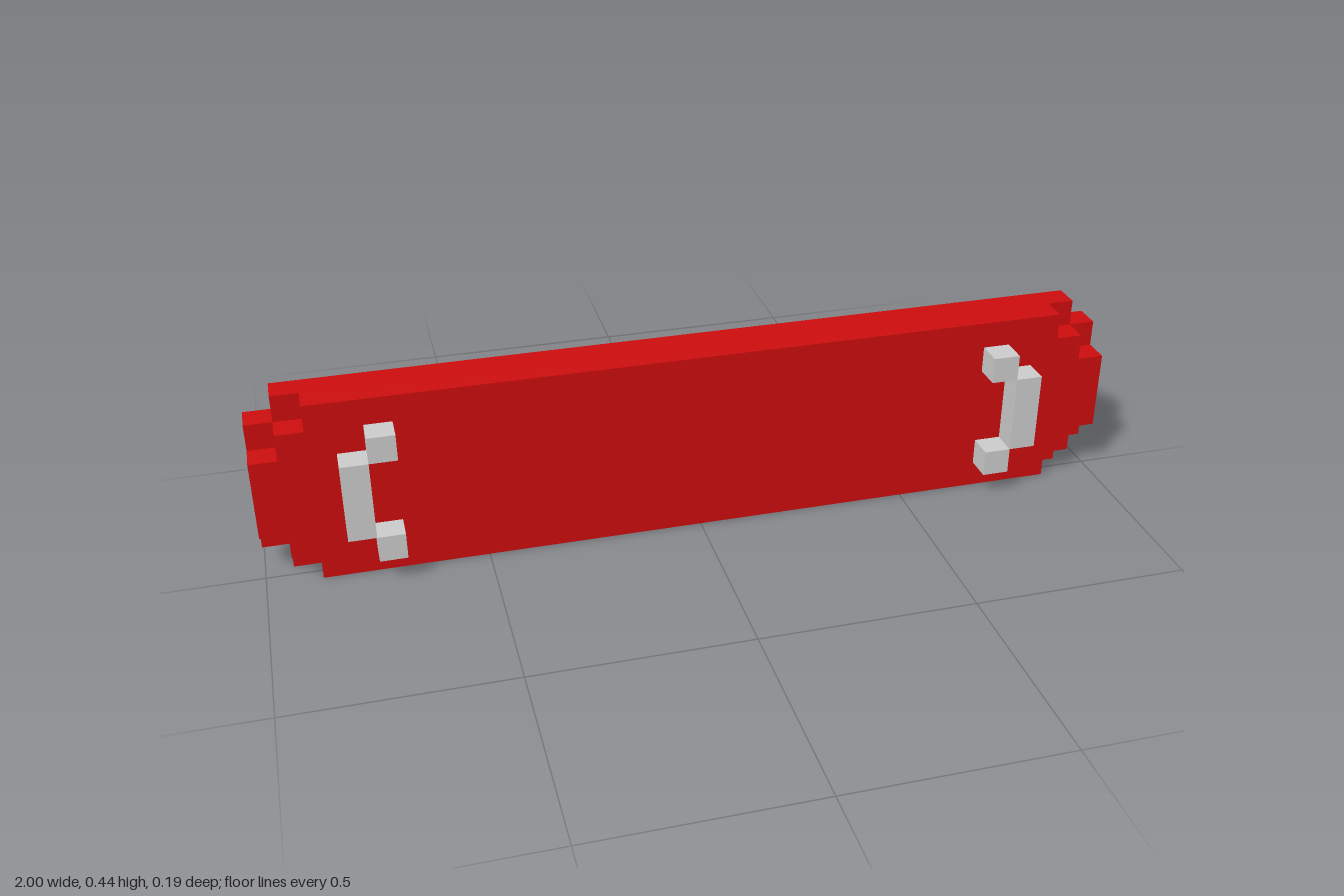
import * as THREE from 'three';

const U = 1 / 16; // one block

// Slab with stepped corners; steps lists [half width, half height] from side to top, in blocks
function steppedSlab(steps, z, material, name) {
  const corner = [];
  steps.forEach(([x, y], i) => {
    if (i > 0) corner.push([x, steps[i - 1][1]]);
    corner.push([x, y]);
  });
  const flip = [...corner].reverse();
  const outline = [
    ...corner,
    ...flip.map(([x, y]) => [-x, y]),
    ...corner.map(([x, y]) => [-x, -y]),
    ...flip.map(([x, y]) => [x, -y]),
  ];
  const shape = new THREE.Shape(outline.map(([x, y]) => new THREE.Vector2(x * U, (y + 3.5) * U)));
  const mesh = new THREE.Mesh(new THREE.ExtrudeGeometry(shape, { depth: U, bevelEnabled: false }), material);
  mesh.position.z = z * U;
  mesh.name = name;
  return mesh;
}

export function createModel() {
  const red = new THREE.MeshStandardMaterial({ color: 0xcc0d0d });
  red.name = 'red';
  const grey = new THREE.MeshStandardMaterial({ color: 0xcbcbcb });
  grey.name = 'light grey';

  const model = new THREE.Group();
  model.name = 'panel';

  // Two layers, the front one with more steps at its corners
  model.add(steppedSlab([[16, 2.5], [15, 3.5]], -1.5, red, 'backLayer'));
  model.add(steppedSlab([[16, 1.5], [15, 2.5], [14, 3.5]], -0.5, red, 'frontLayer'));

  // Bracket-shaped handles, mirrored left and right
  for (const side of [1, -1]) {
    const handle = new THREE.Group();
    handle.name = side > 0 ? 'leftHandle' : 'rightHandle';
    const parts = [
      ['handleBar', 12.5, 3.5, 3],
      ['upperHandleEnd', 11.5, 5.5, 1],
      ['lowerHandleEnd', 11.5, 1.5, 1],
    ];
    for (const [name, x, y, height] of parts) {
      const mesh = new THREE.Mesh(new THREE.BoxGeometry(U, height * U, U), grey);
      mesh.position.set(side * x * U, y * U, U);
      mesh.name = name;
      handle.add(mesh);
    }
    model.add(handle);
  }
  return model;
}
